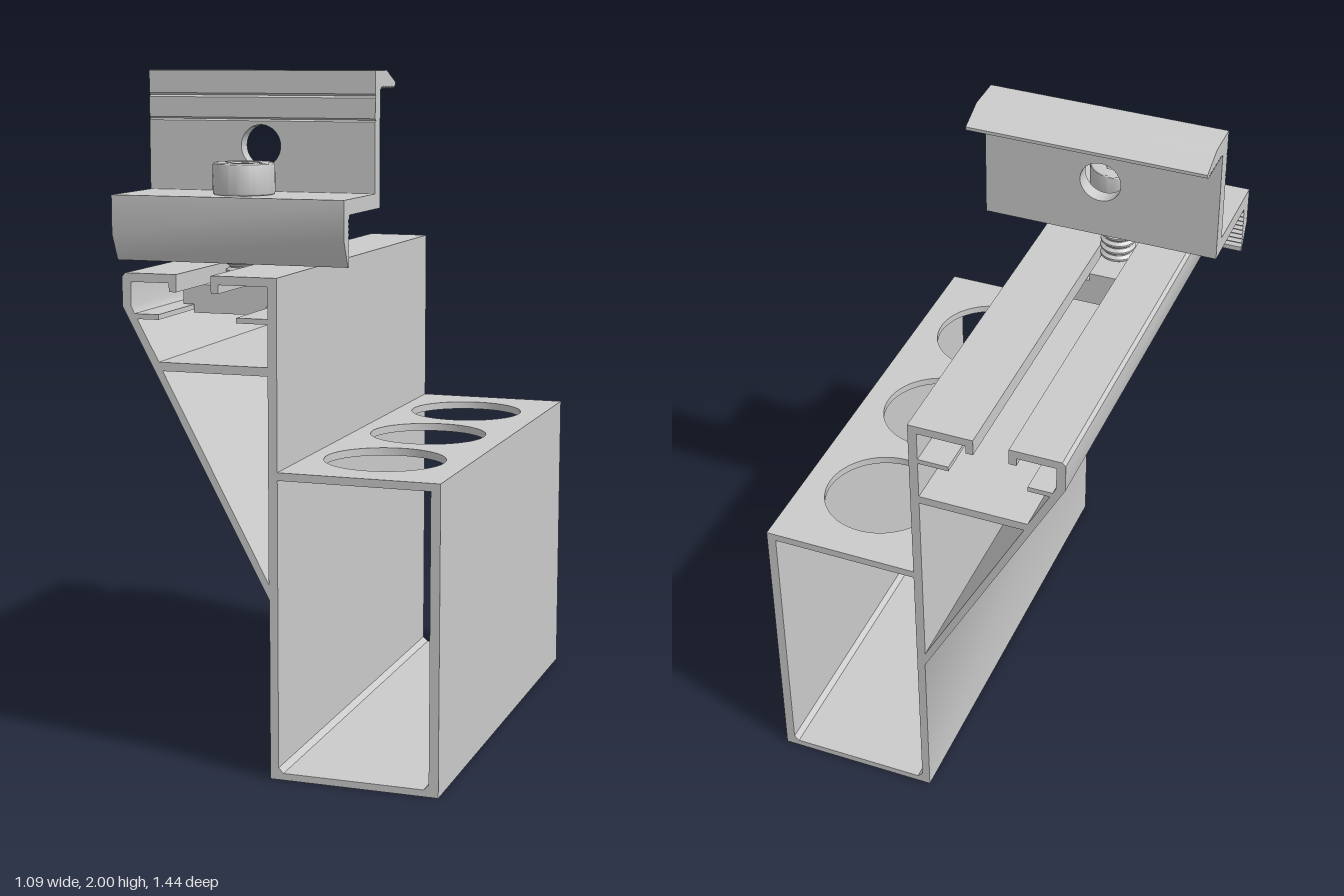
import * as THREE from 'three';
import { toCreasedNormals } from 'three/addons/utils/BufferGeometryUtils.js';

const material = new THREE.MeshStandardMaterial({ color: 0xcccccc });

const shapeOf = (points) => new THREE.Shape(points.map(([a, b]) => new THREE.Vector2(a, b)));
const pathOf = (points) => new THREE.Path(points.map(([a, b]) => new THREE.Vector2(a, b)));
const circle = (x, y, r) => new THREE.Path().absarc(x, y, r, 0, Math.PI * 2, true);

function extrude(shape, depth, options = {}) {
  const geometry = new THREE.ExtrudeGeometry(shape, { depth, bevelEnabled: false, curveSegments: 32, ...options });
  return toCreasedNormals(geometry, 0.5);
}

function part(name, geometry) {
  const mesh = new THREE.Mesh(geometry, material);
  mesh.name = name;
  return mesh;
}

// Saw teeth running from one point to another, with crests pushed by (dx, dy)
function teeth([x0, y0], [x1, y1], count, dx, dy) {
  const points = [];
  for (let i = 0; i < count; i++) {
    const a = i / count, b = (i + 0.5) / count;
    points.push([x0 + (x1 - x0) * a, y0 + (y1 - y0) * a]);
    points.push([x0 + (x1 - x0) * b + dx, y0 + (y1 - y0) * b + dy]);
  }
  points.push([x1, y1]);
  return points;
}

function createRail() {
  const rail = new THREE.Group();
  rail.name = 'rail';
  const length = 1.44;

  // Open box, tall wall, slotted head and diagonal brace in one section
  const section = shapeOf([
    [0.04, 0], [0.54, 0], [0.54, 0.895], [0.512, 0.895], [0.512, 0.035], [0.497, 0.02],
    [0.08, 0.02], [0.065, 0.035], [0.065, 1.44],
    [-0.13, 1.44], [-0.13, 1.39], [-0.108, 1.39], [-0.108, 1.415], [0.038, 1.415],
    [0.038, 1.325], [-0.055, 1.325], [-0.055, 1.31], [0.038, 1.31], [0.038, 1.19],
    [-0.29, 1.19], [-0.355, 1.31], [-0.29, 1.31], [-0.29, 1.325], [-0.363, 1.325],
    [-0.373, 1.345], [-0.373, 1.415], [-0.257, 1.415], [-0.257, 1.39], [-0.235, 1.39],
    [-0.235, 1.44], [-0.39, 1.44], [-0.4, 1.43], [-0.4, 1.345], [0.04, 0.525],
  ]);
  section.holes.push(pathOf([[0.038, 0.572], [-0.279, 1.165], [0.038, 1.165]]));
  rail.add(part('railProfile', extrude(section, length).translate(0, 0, -length / 2)));

  // Top of the box with three round openings
  const top = shapeOf([[0.065, -0.72], [0.512, -0.72], [0.512, 0.72], [0.065, 0.72]]);
  for (const z of [-0.435, 0, 0.435]) top.holes.push(circle(0.29, z, 0.177));
  rail.add(part('boxTop', extrude(top, 0.023).rotateX(Math.PI / 2).translate(0, 0.895, 0)));
  return rail;
}

function createClamp() {
  const clamp = new THREE.Group();
  clamp.name = 'clamp';
  const left = -0.545, right = 0.177, width = right - left;
  const alongX = (points) => extrude(shapeOf(points), width).rotateY(-Math.PI / 2).translate(right, 0, 0);

  // Foot plate with the toothed front leg
  clamp.add(part('clampFoot', alongX([
    [0.14, 1.595], [0.14, 1.64], [0.473, 1.64], [0.473, 1.525], [0.435, 1.445], [0.425, 1.445],
    ...teeth([0.425, 1.46], [0.425, 1.585], 8, 0.009, 0), [0.425, 1.595],
  ])));

  // Upright wall with a round hole
  const wall = shapeOf([[left, 1.64], [right, 1.64], [right, 1.84], [left, 1.84]]);
  wall.holes.push(circle(-0.183, 1.784, 0.0545));
  wall.holes[0] = circle(-0.183, 1.776, 0.063);
  clamp.add(part('clampWall', extrude(wall, 0.048).translate(0, 0, 0.14)));

  // Upper wall with two grooves and the toothed overhanging lip
  clamp.add(part('clampLip', alongX([
    [0.14, 1.84], [0.188, 1.84], [0.188, 1.85], [0.182, 1.855], [0.188, 1.86],
    [0.188, 1.92], [0.182, 1.926], [0.188, 1.932], [0.188, 2], [0.077, 2],
    [-0.007, 1.965], [-0.007, 1.955], ...teeth([0.01, 1.946], [0.13, 1.946], 10, 0, 0.008), [0.14, 1.946],
  ])));
  return clamp;
}

function createBolt() {
  const bolt = new THREE.Group();
  bolt.name = 'bolt';
  bolt.position.set(-0.181, 0, 0.333);

  // Cap head with a hexagonal socket
  const bevel = 0.008;
  const rim = new THREE.Shape().absarc(0, 0, 0.092, 0, Math.PI * 2, false);
  const hexagon = [];
  for (let i = 0; i < 6; i++) {
    const a = -i * Math.PI / 3;
    hexagon.push([0.05 * Math.cos(a), 0.05 * Math.sin(a)]);
  }
  rim.holes.push(pathOf(hexagon));
  const head = extrude(rim, 0.095 - 2 * bevel, {
    bevelEnabled: true, bevelSize: bevel, bevelThickness: bevel, bevelOffset: -bevel, bevelSegments: 3,
  });
  bolt.add(part('boltHead', head.rotateX(Math.PI / 2).translate(0, 1.735 - bevel, 0)));
  bolt.add(part('socketFloor', new THREE.CylinderGeometry(0.07, 0.07, 0.04, 32).translate(0, 1.66, 0)));

  // Threaded shank
  const profile = [[0, 1.3]];
  for (let y = 1.305; y < 1.6; y += 0.025) {
    profile.push([0.045, y], [0.055, y + 0.008], [0.055, y + 0.014], [0.045, y + 0.022]);
  }
  profile.push([0.045, 1.645]);
  const shank = new THREE.LatheGeometry(profile.map(([r, y]) => new THREE.Vector2(r, y)), 32);
  bolt.add(part('boltShank', toCreasedNormals(shank, 0.5)));
  return bolt;
}

function createNut() {
  // Sliding block, grooved on top for the rail hooks
  const section = shapeOf([
    [-0.285, 1.302], [-0.06, 1.302], [-0.06, 1.327], [-0.032, 1.327], [-0.032, 1.41],
    [-0.1, 1.41], [-0.1, 1.385], [-0.138, 1.385], [-0.138, 1.41],
    [-0.227, 1.41], [-0.227, 1.385], [-0.265, 1.385], [-0.265, 1.41],
    [-0.318, 1.41], [-0.318, 1.327], [-0.285, 1.327],
  ]);
  return part('slidingNut', extrude(section, 0.28).translate(0, 0, 0.193));
}

export function createModel() {
  const model = new THREE.Group();
  model.name = 'clampRail';
  model.add(createRail(), createClamp(), createBolt(), createNut());
  return model;
}
